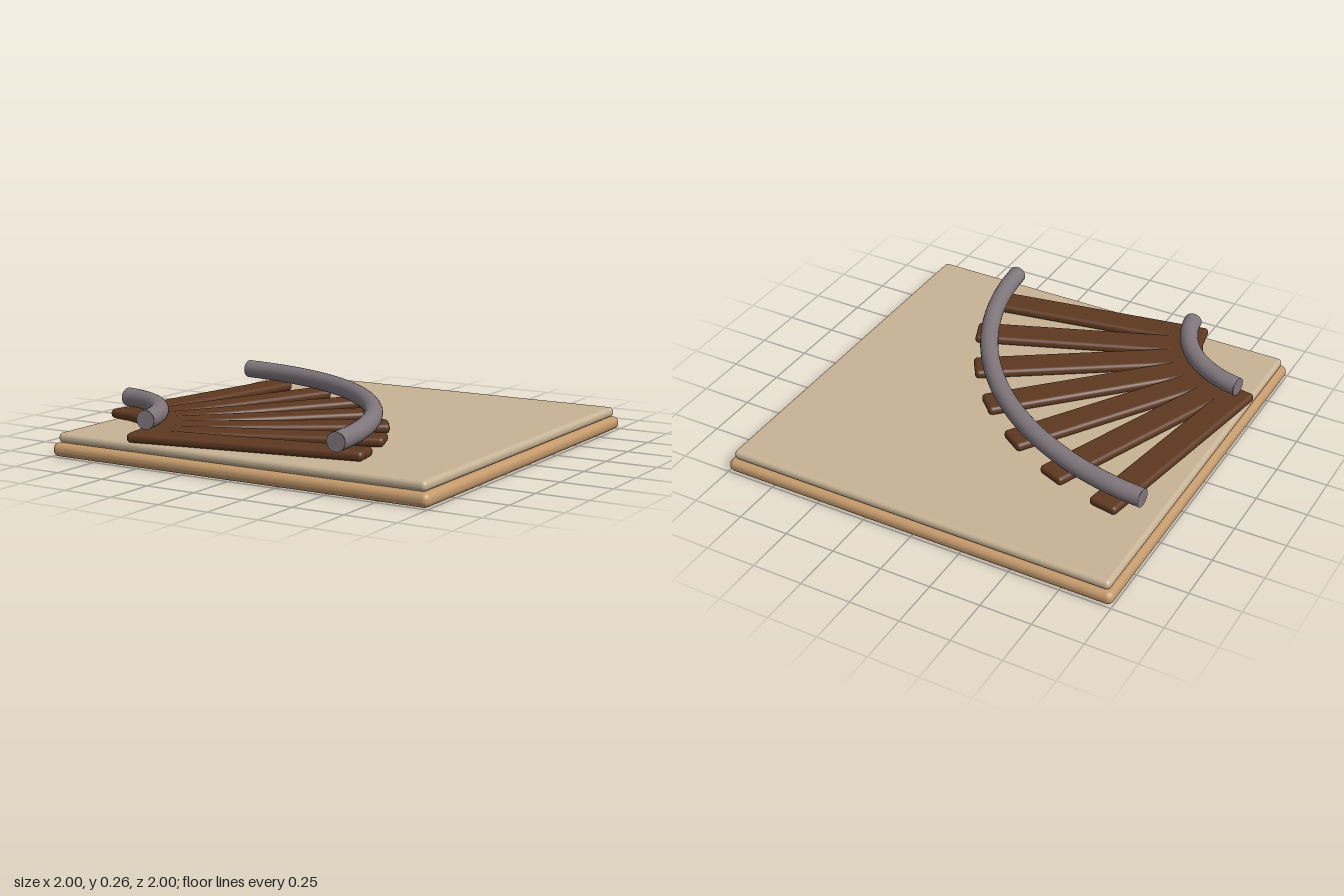
import * as THREE from 'three';
import { RoundedBoxGeometry } from 'three/addons/geometries/RoundedBoxGeometry.js';

const mat = (name, color) => {
  const m = new THREE.MeshStandardMaterial({ color });
  m.name = name;
  return m;
};

export function createModel() {
  const group = new THREE.Group();
  const wood = mat('light wood', 0xc49a6c);
  const sand = mat('sand', 0xc8b496);
  const brown = mat('dark brown', 0x5e3820);
  const steel = mat('steel grey', 0x80777c);

  const add = (parent, name, geometry, material) => {
    const mesh = new THREE.Mesh(geometry, material);
    mesh.name = name;
    parent.add(mesh);
    return mesh;
  };

  // Stacked square slabs with rounded edges
  add(group, 'baseBoard', new RoundedBoxGeometry(2, 0.065, 2, 5, 0.03), wood).position.y = 0.0325;
  add(group, 'groundSlab', new RoundedBoxGeometry(1.955, 0.048, 1.955, 5, 0.022), sand).position.y = 0.088;

  // Curved track, turning about the front corner of the board
  const track = new THREE.Group();
  track.name = 'track';
  track.position.set(-1, 0, 1);
  group.add(track);

  // Point on the curve; the angle is measured from -z towards +x
  const polar = (r, a, y) => new THREE.Vector3(r * Math.sin(a), y, -r * Math.cos(a));
  const rad = THREE.MathUtils.degToRad;

  // Sleepers fan out radially
  const inner = 0.43, outer = 1.577, count = 7;
  const sleeper = new RoundedBoxGeometry(0.145, 0.045, outer - inner, 4, 0.02);
  for (let i = 0; i < count; i++) {
    const a = rad(10 + (70 * i) / (count - 1));
    const mesh = add(track, 'sleeper', sleeper, brown);
    mesh.position.copy(polar((inner + outer) / 2, a, 0.134));
    mesh.rotation.y = -a;
  }

  // Round rails with closed ends
  const railY = 0.213, railR = 0.045;
  const addRail = (name, r, margin) => {
    const start = rad(margin), end = rad(90 - margin);
    const rail = new THREE.Group();
    rail.name = name;
    track.add(rail);
    const points = [];
    for (let i = 0; i <= 16; i++) points.push(polar(r, start + ((end - start) * i) / 16, railY));
    const path = new THREE.CatmullRomCurve3(points);
    add(rail, 'railBar', new THREE.TubeGeometry(path, 64, railR, 24), steel);
    for (const [a, turn] of [[start, -Math.PI / 2], [end, Math.PI / 2]]) {
      const cap = add(rail, 'railEnd', new THREE.CircleGeometry(railR, 24), steel);
      cap.position.copy(polar(r, a, railY));
      cap.rotation.y = turn - a;
    }
  };
  addRail('outerRail', 1.5, 3.8);
  addRail('innerRail', 0.505, 8);

  return group;
}
